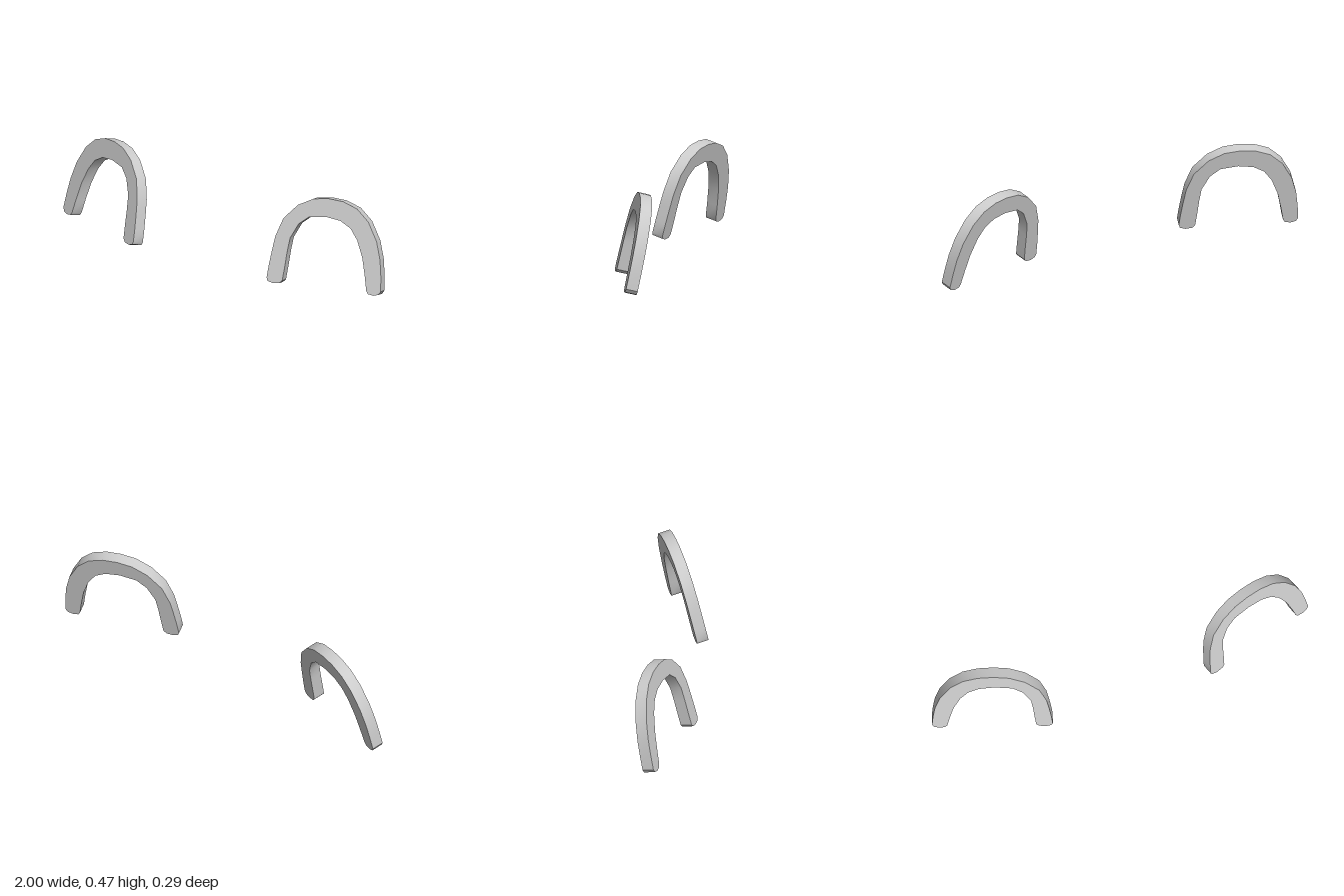
import * as THREE from 'three';
import { toCreasedNormals } from 'three/addons/utils/BufferGeometryUtils.js';

// Outline of one arch's front face: outer edge from the outer foot over the top, then back along the inner edge
const OUTLINE = [
  [0.965, 0.015], [0.99, 0.022], [1.0, 0.04], [0.99, 0.115], [0.975, 0.195], [0.945, 0.285],
  [0.89, 0.377], [0.825, 0.435], [0.75, 0.463], [0.675, 0.469], [0.6, 0.459], [0.527, 0.42],
  [0.463, 0.345], [0.435, 0.25], [0.428, 0.18], [0.422, 0.1], [0.42, 0.04], [0.427, 0.025],
  [0.455, 0.016], [0.487, 0.02], [0.5, 0.035], [0.503, 0.1], [0.505, 0.18], [0.51, 0.25],
  [0.543, 0.325], [0.59, 0.366], [0.675, 0.377], [0.75, 0.366], [0.805, 0.335], [0.847, 0.28],
  [0.885, 0.195], [0.91, 0.105], [0.927, 0.035], [0.937, 0.02],
];

// Flat arch laid on a plane that turns outward and leans back, thickened along the plane's normal
function archGeometry(side) {
  const shape = new THREE.Shape(OUTLINE.map(([x, y]) => new THREE.Vector2(side * x, y)));
  const geo = new THREE.ExtrudeGeometry(shape, { depth: 1, bevelEnabled: false });
  const pos = geo.attributes.position;
  for (let i = 0; i < pos.count; i++) {
    const x = pos.getX(i), y = pos.getY(i), back = 1 - pos.getZ(i);
    const z = 0.14 - 0.32 * (side * x - 0.42) - 0.23 * (y - 0.03);
    pos.setXYZ(i, x - side * 0.018 * back, y - 0.014 * back, z - 0.056 * back);
  }
  return toCreasedNormals(geo, 0.6);
}

export function createModel() {
  const group = new THREE.Group();
  group.name = 'archPair';
  const material = new THREE.MeshStandardMaterial({ color: 0xcccccc });
  for (const [name, side] of [['leftArch', 1], ['rightArch', -1]]) {
    const arch = new THREE.Mesh(archGeometry(side), material);
    arch.name = name;
    group.add(arch);
  }
  return group;
}
